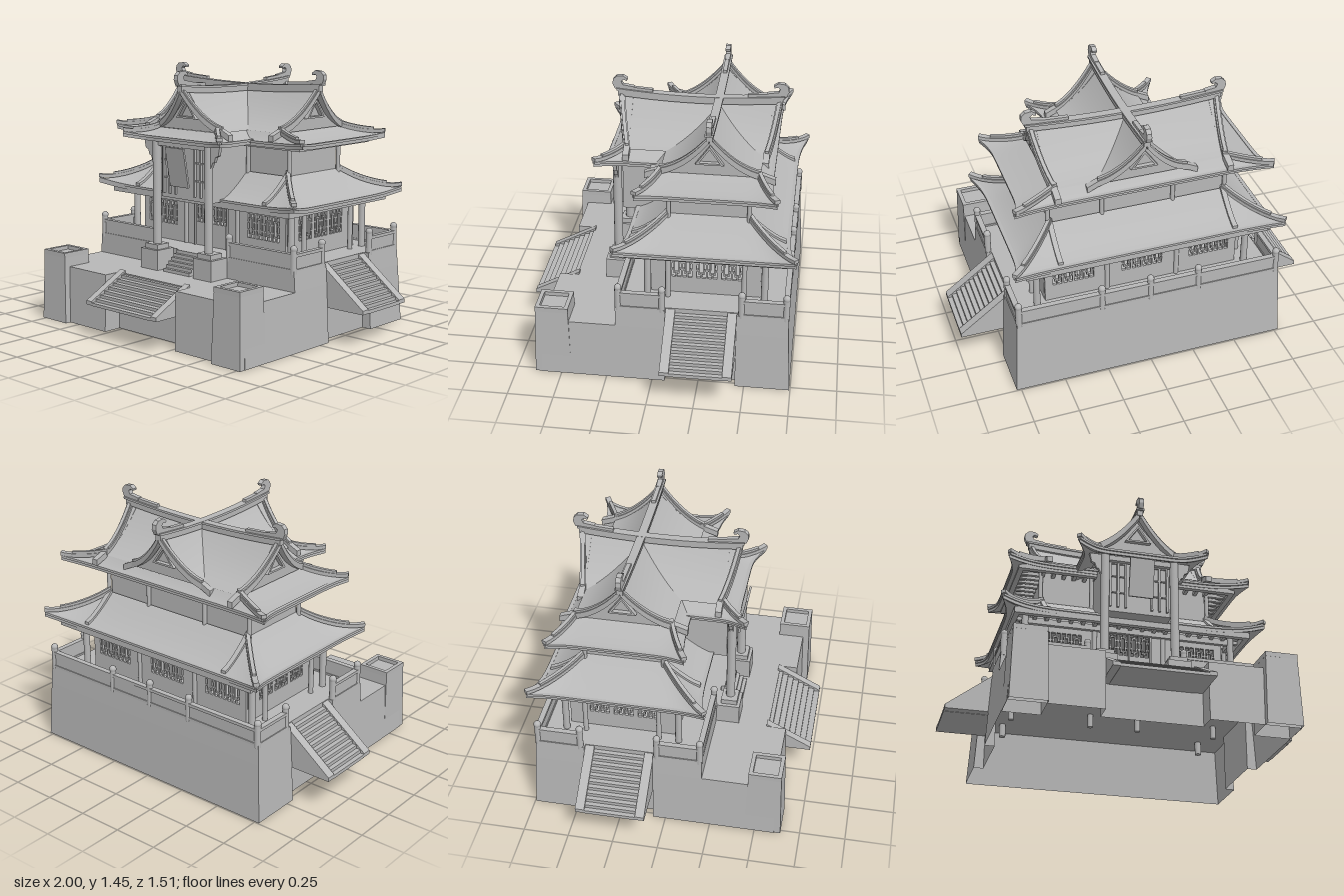
import * as THREE from 'three';

const stone = new THREE.MeshStandardMaterial({ color: 0xb8b8b8, side: THREE.DoubleSide });
stone.name = 'pale grey';
const V = (x, y, z) => new THREE.Vector3(x, y, z);
const L = THREE.MathUtils.lerp;
const CZ = -0.27; // centre line of the hall

export function createModel() {
  const root = new THREE.Group();
  const add = (name, geo, x = 0, y = 0, z = 0, parent = root) => {
    const m = new THREE.Mesh(geo, stone);
    m.name = name;
    m.position.set(x, y, z);
    parent.add(m);
    return m;
  };
  const group = (name, z = 0, ry = 0) => {
    const g = new THREE.Group();
    g.name = name;
    g.position.z = z;
    g.rotation.y = ry;
    root.add(g);
    return g;
  };
  // box given by its limits
  const box = (name, x0, x1, y0, y1, z0, z1, parent = root) => add(name,
    new THREE.BoxGeometry(Math.abs(x1 - x0), y1 - y0, Math.abs(z1 - z0)), (x0 + x1) / 2, (y0 + y1) / 2, (z0 + z1) / 2, parent);
  const post = (name, x, z, y0, y1, r) =>
    add(name, new THREE.CylinderGeometry(r, r, y1 - y0, 12), x, (y0 + y1) / 2, z);
  // smooth surface from fn(u, v), both 0..1
  const grid = (fn, nu, nv) => {
    const pos = [], idx = [];
    for (let j = 0; j <= nv; j++) for (let i = 0; i <= nu; i++) pos.push(...fn(i / nu, j / nv).toArray());
    for (let j = 0; j < nv; j++) for (let i = 0; i < nu; i++) {
      const a = j * (nu + 1) + i, b = a + nu + 1;
      idx.push(a, b, a + 1, b, b + 1, a + 1);
    }
    const g = new THREE.BufferGeometry();
    g.setAttribute('position', new THREE.Float32BufferAttribute(pos, 3));
    g.setIndex(idx);
    g.computeVertexNormals();
    return g;
  };
  const flat = (g) => { const n = g.toNonIndexed(); n.computeVertexNormals(); return n; };
  // rectangular bar resting on a path
  const sweep = (name, pts, w, h, parent) => {
    const rings = pts.map((p, i) => {
      const d = pts[Math.min(i + 1, pts.length - 1)].clone().sub(pts[Math.max(i - 1, 0)]);
      const s = V(d.z, 0, -d.x).normalize().multiplyScalar(w / 2), up = V(0, h, 0);
      const a = p.clone().add(s), b = p.clone().sub(s);
      return [a, a.clone().add(up), b.clone().add(up), b, a];
    });
    const n = pts.length - 1;
    add(name, flat(grid((u, v) => rings[Math.round(v * n)][Math.round(u * 4)], 4, n)), 0, 0, 0, parent);
    for (const r of [rings[0], rings[n]])
      add(name + 'End', flat(grid((u, v) => r[v < 0.5 ? (u < 0.5 ? 0 : 1) : (u < 0.5 ? 3 : 2)], 1, 1)), 0, 0, 0, parent);
  };
  const path = (n, fn) => Array.from({ length: n + 1 }, (_, i) => fn(i / n));
  const shape = (pts) => new THREE.Shape(pts.map((p) => new THREE.Vector2(...p)));
  const slab = (s, depth) => new THREE.ExtrudeGeometry(s, { depth, bevelEnabled: false });

  // hollow battered walls, recessed behind each flight of steps
  const shell = (name, pts, top, y0, y1) => add(name, flat(grid((u, v) => {
    const i = Math.round(u * pts.length) % pts.length, p = v < 0.5 ? pts[i] : top[i];
    return V(p[0], v < 0.5 ? y0 : y1, p[1]);
  }, pts.length, 1)));
  const floor = (name, pts, y) => {
    const g = new THREE.ShapeGeometry(shape(pts.map(([x, z]) => [x, -z])));
    g.rotateX(-Math.PI / 2);
    add(name, g, 0, y, 0);
  };
  const outline = (x, z0, z1, notch) => {
    const half = [[x, z0], [x, -0.45], [0.72, -0.45], [0.72, -0.07], [x, -0.07], [x, z1]];
    if (notch) half.push([0.275, z1], [0.275, 0.5]);
    return [...half, ...half.map(([a, b]) => [-a, b]).reverse()];
  };
  const lowTop = outline(0.757, -0.728, 0.6, true);
  shell('terraceWall', outline(0.775, -0.745, 0.61, true), lowTop, 0, 0.325);
  floor('lowerTerrace', lowTop, 0.325);
  const highTop = outline(0.75, -0.722, 0.2, false);
  shell('upperTerraceWall', outline(0.757, -0.728, 0.2, false), highTop, 0.325, 0.435);
  floor('upperTerrace', highTop, 0.435);

  // corner towers with sunken tops
  const square = (x, z, h) => [[x - h, z - h], [x + h, z - h], [x + h, z + h], [x - h, z + h]];
  for (const s of [-1, 1]) {
    const x = 0.672 * s, z = 0.545;
    shell('cornerTower', square(x, z, 0.1), square(x, z, 0.089), 0, 0.4);
    for (const k of [-1, 1]) {
      box('towerRim', x - 0.09, x + 0.09, 0.38, 0.407, z + k * 0.09, z + k * 0.068);
      box('towerRim', x + k * 0.09, x + k * 0.068, 0.38, 0.407, z - 0.068, z + 0.068);
    }
    floor('towerTop', square(x, z, 0.085), 0.385);
  }

  // flights of steps, running out along local +x
  const stairs = (name, run, half, y0, y1, n, rail) => {
    const g = group(name);
    const pts = [[0, y0]], rise = (y1 - y0) / n;
    for (let i = 0; i < n; i++) pts.push([run * i / n, y1 - rise * i], [run * (i + 1) / n, y1 - rise * i]);
    pts.push([run, y0]);
    add('steps', slab(shape(pts), 2 * half), 0, rail ? -0.012 : 0, -half, g);
    if (rail) for (const s of [-1, 1])
      add('stairRail', slab(shape([[0, y0 - 0.01], [0, y1 + 0.01], [run, y0 + 0.012], [run, y0 - 0.01]]), rail),
        0, 0, s * (half + rail / 2) - rail / 2, g);
    return g;
  };
  const front = stairs('frontStairs', 0.255, 0.232, 0.195, 0.33, 8, 0.042);
  front.rotation.y = -Math.PI / 2;
  front.position.z = 0.49;
  const porch = stairs('porchStairs', 0.12, 0.1, 0.326, 0.435, 6, 0);
  porch.rotation.y = -Math.PI / 2;
  porch.position.z = 0.2;
  for (const s of [-1, 1]) {
    const g = stairs('sideStairs', 0.28, 0.14, 0.205, 0.42, 11, 0.05);
    g.rotation.y = s > 0 ? 0 : Math.PI;
    g.position.set(0.72 * s, 0, -0.26);
  }

  // parapets with ball-topped posts
  const parapet = (x0, z0, x1, z1) => {
    const bar = (name, t, y0, y1) => {
      const tx = z0 === z1 ? 0 : t, tz = z0 === z1 ? t : 0;
      box(name, x0 - tx, x1 + tx, y0, y1, z0 - tz, z1 + tz);
    };
    bar('parapet', 0.01, 0.43, 0.515);
    bar('parapetFoot', 0.015, 0.43, 0.445);
    bar('parapetCap', 0.015, 0.51, 0.527);
    for (const [x, z] of [[x0, z0], [x1, z1]]) {
      post('parapetPost', x, z, 0.42, 0.545, 0.018);
      add('postBall', new THREE.SphereGeometry(0.02, 12, 8), x, 0.553, z);
    }
  };
  for (const s of [-1, 1]) {
    parapet(s > 0 ? 0.275 : -0.735, 0.185, s > 0 ? 0.735 : -0.275, 0.185);
    parapet(s * 0.735, -0.05, s * 0.735, 0.185);
    parapet(s * 0.735, -0.71, s * 0.735, -0.475);
    parapet(s > 0 ? 0.275 : -0.735, -0.71, s > 0 ? 0.735 : -0.275, -0.71);
    parapet(s > 0 ? 0 : -0.275, -0.71, s > 0 ? 0.275 : 0, -0.71);
  }

  // walls pierced by lattice windows; each window is [centre, bottom, top, leaves]
  const LEAF = 0.06;
  const latticeWall = (name, half, y0, y1, windows, parent) => {
    const s = shape([[-half, y0], [half, y0], [half, y1], [-half, y1]]);
    for (const [c, b, t, n] of windows) for (let i = 0; i < n; i++) {
      const x = c + (i - (n - 1) / 2) * LEAF, w = 0.025, y = (b + t) / 2, h = t - b;
      s.holes.push(new THREE.Path([[x - w, b], [x - w, t], [x + w, t], [x + w, b]].map((p) => new THREE.Vector2(...p))));
      for (const k of [-1, 1]) {
        box('latticeBar', x + k * 0.012 - 0.004, x + k * 0.012 + 0.004, y - h * 0.32, y + h * 0.32, -0.002, 0.012, parent);
        box('latticeBar', x - 0.016, x + 0.016, y + k * h * 0.32 - 0.004, y + k * h * 0.32 + 0.004, -0.002, 0.012, parent);
        box('latticeBar', x - 0.004, x + 0.004, y + k * h * 0.41 - h * 0.09, y + k * h * 0.41 + h * 0.09, -0.002, 0.012, parent);
        for (const j of [-1, 1])
          box('latticeBar', x + k * 0.019 - 0.006, x + k * 0.019 + 0.006, y + j * h * 0.16 - 0.004, y + j * h * 0.16 + 0.004, -0.002, 0.012, parent);
      }
    }
    add(name, slab(s, 0.016), 0, 0, -0.004, parent);
  };
  const sideWins = [[-0.39, 0.53, 0.665, 4], [0.39, 0.53, 0.665, 4]];
  const frontWall = group('frontWall', 0.02);
  latticeWall('wall', 0.55, 0.43, 0.79, [...sideWins, [-0.062, 0.57, 0.705, 2], [0.062, 0.57, 0.705, 2]], frontWall);
  for (const x of [-0.125, 0, 0.125]) box('doorFrame', x - 0.005, x + 0.005, 0.435, 0.72, 0.01, 0.024, frontWall);
  latticeWall('wall', 0.55, 0.43, 0.79, [...sideWins, [0, 0.53, 0.665, 4]], group('backWall', -0.56, Math.PI));
  for (const s of [-1, 1]) {
    const g = group('sideWall', CZ, s * Math.PI / 2);
    g.position.x = 0.54 * s;
    latticeWall('wall', 0.29, 0.43, 0.79, [-0.135, 0, 0.135].map((c) => [c, 0.53, 0.665, 2]), g);
  }
  // hall columns, reaching below the floor
  for (const s of [-1, 1]) {
    for (const z of [0.045, -0.585]) {
      post('cornerColumn', s * 0.6, z, 0.25, 0.75, 0.019);
      post('pierColumn', s * 0.2, z > 0 ? 0.03 : -0.57, 0.43, 0.74, 0.014);
    }
    for (const z of [-0.065, -0.475]) post('sideColumn', s * 0.6, z, 0.43, 0.75, 0.014);
    for (const [x, z] of [[0.14, -0.3], [0.6, -0.3], [0.14, 0.045], [0.36, 0.045]]) post('footing', s * x, z, 0.25, 0.33, 0.016);
  }
  for (const z of [0.045, -0.585]) box('tieBeam', -0.6, 0.6, 0.695, 0.73, z - 0.01, z + 0.01);
  for (const x of [-0.6, 0.6]) box('tieBeam', x - 0.01, x + 0.01, 0.695, 0.73, -0.585, 0.045);

  // upper storey
  box('upperHall', -0.49, 0.49, 0.84, 1.1, CZ - 0.205, CZ + 0.205);
  for (const x of [-0.5, -0.2, 0.2, 0.5]) for (const z of [-1, 1]) post('upperPost', x, CZ + z * 0.215, 0.84, 1.08, 0.012);

  // porch room on two tall columns
  box('porchRoom', -0.19, 0.19, 0.735, 1.1, -0.07, 0.24);
  for (const s of [-1, 1]) {
    box('pedestal', s * 0.14, s * 0.275, 0.325, 0.44, 0.2, 0.33);
    box('pedestalCap', s * 0.155, s * 0.255, 0.44, 0.468, 0.222, 0.313);
    post('porchColumn', s * 0.2, 0.268, 0.46, 1.08, 0.025);
    add('columnBracket', slab(shape([[0, 0.93], [0.02, 0.97], [0.03, 0.97], [0.04, 1.0], [0.06, 1.01], [0.07, 1.06], [0, 1.06]]), 0.02),
      s * 0.22, 0, s > 0 ? 0.258 : 0.278).rotation.y = s > 0 ? 0 : Math.PI;
    for (const x of [0.075, 0.12, 0.165]) box('porchMullion', s * x - 0.006, s * x + 0.006, 0.76, 1.05, 0.238, 0.254);
    for (const y of [0.85, 0.95, 1.03]) box('porchRail', s * 0.07, s * 0.17, y - 0.004, y + 0.004, 0.238, 0.25);
  }
  add('hangingBoard', new THREE.BoxGeometry(0.14, 0.225, 0.012), 0, 0.925, 0.308).rotation.x = 0.18;
  box('porchBeam', -0.19, 0.19, 1.03, 1.06, 0.255, 0.28);

  // straight beams carrying the eaves, with rafters back to the wall
  const eaveBeams = (hx, hz, y0, y1, wx, wz) => {
    for (const s of [-1, 1]) {
      box('eaveBeam', -hx, hx, y0, y1, CZ + s * hz, CZ + s * (hz - 0.03));
      box('eaveBeam', s * hx, s * (hx - 0.03), y0, y1, CZ - hz, CZ + hz);
      for (let x = -wx; x <= wx + 0.001; x += wx / 8) box('rafter', x - 0.01, x + 0.01, y1 - 0.02, y1, CZ + s * wz, CZ + s * hz);
      for (let z = -wz; z <= wz + 0.001; z += wz / 4) box('rafter', s * wx, s * hx, y1 - 0.02, y1, CZ + z - 0.01, CZ + z + 0.01);
    }
  };
  eaveBeams(0.68, 0.43, 0.702, 0.738, 0.55, 0.29);
  eaveBeams(0.645, 0.308, 1.042, 1.072, 0.49, 0.205);

  // sweeping hipped skirt: inner and outer half sizes, corners flare and lift
  const skirt = (name, z, [ix, iz, iy], [ox, oz, oy], lift, tip, th) => {
    const g = group(name, z);
    const P = (k, a, t) => {
      const c = Math.abs(a) ** 9 * t * t, e = tip * c;
      const hx = L(ix, ox, t) + e, hz = L(iz, oz, t) + e;
      const y = iy + (oy - iy) * (1 - (1 - t) ** 1.4) + lift * c, s = k < 2 ? 1 : -1;
      return k % 2 ? V(s * hx, y, -s * a * hz) : V(s * a * hx, y, s * hz);
    };
    const down = (p, d) => { p.y -= d; return p; };
    for (let k = 0; k < 4; k++) {
      add('roofSlope', grid((u, v) => P(k, u * 2 - 1, v), 32, 8), 0, 0, 0, g);
      add('roofUnderside', grid((u, v) => down(P(k, 1 - u * 2, v), th), 32, 8), 0, 0, 0, g);
      add('eaveEdge', grid((u, v) => down(P(k, u * 2 - 1, 1), th * v), 32, 1), 0, 0, 0, g);
      sweep('eaveTrim', path(32, (u) => down(P(k, u * 2 - 1, 0.985), 0.008)), 0.02, 0.013, g);
      sweep('hipRidge', path(10, (t) => { const p = P(k, 1, t); p.y += 0.008 * t ** 6; return p; }), 0.03, 0.02, g);
      sweep('hipCrest', path(8, (t) => P(k, 1, t * 0.8)), 0.02, 0.034, g);
    }
    return g;
  };
  const lower = skirt('lowerRoof', CZ, [0.49, 0.215, 0.885], [0.705, 0.43, 0.745], 0.03, 0.05, 0.025);
  for (const s of [-1, 1]) for (const k of [-1, 1])
    sweep('slopeRib', path(6, (t) => V(s * 0.49, 0.885 - 0.14 * (1 - (1 - t) ** 1.4), k * (0.215 + 0.2 * t))), 0.028, 0.022, lower);
  skirt('upperRoofEaves', CZ, [0.46, 0.255, 1.128], [0.668, 0.323, 1.075], 0.016, 0.045, 0.025);
  skirt('porchRoofEaves', 0.06, [0.22, 0.16, 1.125], [0.31, 0.245, 1.08], 0.016, 0.062, 0.025);

  // curved gable roof along local x from a to b, ends leaning out at the top
  const finial = shape([[-0.07, 0], [0.035, 0], [0.048, 0.03], [0.045, 0.055], [0.025, 0.074], [-0.01, 0.078], [-0.035, 0.062],
    [-0.032, 0.05], [-0.012, 0.056], [0, 0.045], [-0.008, 0.026], [-0.07, 0.016]]);
  const gable = (name, z, ry, [a, leanA], [b, leanB], hw, tail) => {
    const g = group(name, z, ry), yB = 1.125, yR = 1.315;
    const P = (s, v) => {
      const e = 2 * s - 1, q = 1 - Math.abs(v);
      return V(L(a - leanA * q, b + leanB * q, s), yB + (yR + 0.022 * e * e - yB) * (0.35 * q + 0.65 * q * q), v * hw);
    };
    const up = (p, d) => { p.y += d; return p; };
    for (const k of [-1, 1]) {
      add('gableSlope', grid((u, v) => P(k > 0 ? u : 1 - u, k * v), 16, 12), 0, 0, 0, g);
      for (const s of [0, 1]) {
        // barge board running on over the eaves
        const line = path(12, (t) => up(P(s, k * t), -0.012));
        const foot = V(s ? b : a, 1.085, k * (hw + tail));
        sweep('barge', [...line, foot], 0.034, 0.034, g);
        sweep('bargeCrest', path(10, (t) => up(P(s, k * t), 0.02)), 0.02, 0.014, g);
      }
    }
    sweep('ridge', path(16, (s) => P(L(-0.02, 1.02, s), 0)), 0.034, 0.03, g);
    sweep('ridgeCap', path(16, (s) => up(P(L(-0.03, 1.03, s), 0), 0.03)), 0.046, 0.012, g);
    for (const s of [0, 1]) {
      const e = 2 * s - 1, end = s ? b : a, lean = s ? leanB : leanA;
      const wall = path(24, (t) => P(s, t * 2 - 1)).map((p) => [-p.z, p.y]);
      add('gableWall', slab(shape(wall), 0.01), end - 0.005 + e * 0.005, 0, 0, g).rotation.y = Math.PI / 2;
      const tri = shape([[-0.075, 1.19], [0.075, 1.19], [0, 1.295]]);
      tri.holes.push(shape([[-0.055, 1.2], [0, 1.278], [0.055, 1.2]]));
      add('gableFrame', slab(tri, 0.03), end - 0.015 + e * 0.02, 0, 0, g).rotation.y = Math.PI / 2;
      sweep('ridgeCrest', path(5, (t) => up(P(s ? 1 - 0.2 * t : 0.2 * t, 0), 0.04)), 0.024, 0.018, g);
      add('ridgeFinial', slab(finial, 0.028), end + e * lean, 1.376, -e * 0.014, g).rotation.y = s ? 0 : Math.PI;
    }
  };
  gable('mainRoof', CZ, 0, [-0.475, 0.045], [0.475, 0.045], 0.265, 0.08);
  gable('crossRoof', 0, -Math.PI / 2, [-0.55, 0.05], [0.205, 0.065], 0.245, 0.06);

  return root;
}
